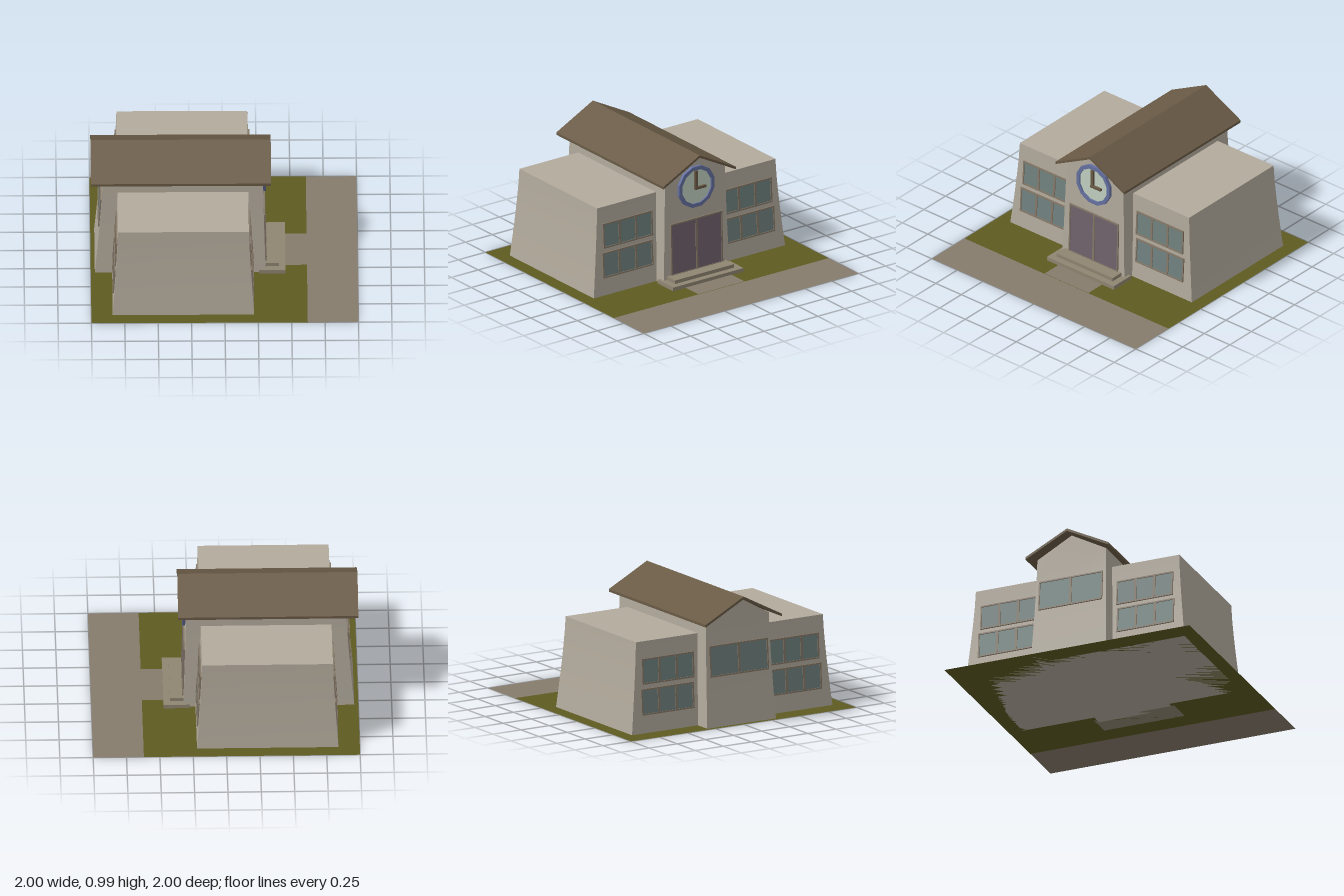
import * as THREE from 'three';

const mat = (name, color) => {
  const m = new THREE.MeshStandardMaterial({ color });
  m.name = name;
  return m;
};

export function createModel() {
  const model = new THREE.Group();
  const wall = mat('plaster', 0xb2aa9c);
  const grass = mat('grass', 0x5e5a20);
  const path = mat('path', 0x857b6c);
  const roofMat = mat('roof brown', 0x695a45);
  const trim = mat('trim', 0x857867);
  const glass = mat('glass', 0x70827f);
  const doorMat = mat('door purple', 0x70636d);
  const ringMat = mat('clock blue', 0x6570a0);
  const faceMat = mat('clock face', 0xc2d0c0);
  const stepMat = mat('step stone', 0x8f8572);
  grass.side = path.side = THREE.DoubleSide;

  const add = (parent, name, geometry, material, x = 0, y = 0, z = 0) => {
    const m = new THREE.Mesh(geometry, material);
    m.name = name;
    m.position.set(x, y, z);
    parent.add(m);
    return m;
  };
  const box = (parent, name, w, h, d, material, x, y, z) =>
    add(parent, name, new THREE.BoxGeometry(w, h, d), material, x, y, z);

  // Ground plates
  const plate = (name, x0, x1, halfZ, y, material) => add(model, name,
    new THREE.PlaneGeometry(x1 - x0, halfZ * 2).rotateX(-Math.PI / 2), material, (x0 + x1) / 2, y, 0);
  plate('lawn', -1, 0.62, 1, 0, grass);
  plate('pavement', 0.62, 1, 1, 0, path);
  plate('walkway', 0.3, 0.62, 0.215, 0.003, path);

  // Blocks whose walls flare out towards the ground
  const flare = (y, h) => Math.pow(Math.max(0, 1 - y / h), 1.3);
  const wings = { h: 0.7, back: -0.8, front: 0.18, side: 0.83, fBack: 0.04, fFront: 0.04, fSide: 0.06 };
  const hall = { h: 0.81, back: -0.91, front: 0.29, side: 0.28, fBack: 0.06, fFront: 0.02, fSide: 0.025, ridge: 0.965 };
  const wallX = (b, y, dir) => dir > 0
    ? b.front + b.fFront * flare(y, b.h)
    : b.back - b.fBack * flare(y, b.h);

  function flaredBlock(name, b) {
    const g = new THREE.BoxGeometry(2, b.h, 2, 1, 6, 2);
    const p = g.attributes.position;
    for (let i = 0; i < p.count; i++) {
      const y = p.getY(i) + b.h / 2;
      const z = p.getZ(i) * (b.side + b.fSide * flare(y, b.h));
      const gable = b.ridge && y > b.h - 0.001 && Math.abs(z) < 0.001;
      p.setXYZ(i, wallX(b, y, p.getX(i)), gable ? b.ridge : y, z);
    }
    g.computeVertexNormals();
    add(model, name, g, wall);
  }
  flaredBlock('wings', wings);
  flaredBlock('centralHall', hall);

  // Gabled roof
  const chevron = new THREE.Shape([
    [-0.338, 0.79], [0, 0.965], [0.338, 0.79], [0.338, 0.81], [0, 0.985], [-0.338, 0.81],
  ].map(([x, y]) => new THREE.Vector2(x, y)));
  const roof = new THREE.ExtrudeGeometry(chevron, { depth: 1.35, bevelEnabled: false });
  add(model, 'roof', roof.rotateY(Math.PI / 2), roofMat, -1, 0, 0);

  // Framed row of panes lying against a leaning wall; dir is +1 front, -1 back
  function paneRow(name, block, dir, z, y0, y1, width, columns, paneMat) {
    const g = new THREE.Group();
    g.name = name;
    const h = y1 - y0, y = (y0 + y1) / 2, cell = width / columns, bar = 0.011;
    const lean = Math.atan((wallX(block, y0, dir) - wallX(block, y1, dir)) * dir / h);
    g.rotation.order = 'YXZ';
    g.rotation.set(-lean, dir * Math.PI / 2, 0);
    g.position.set(wallX(block, y, dir), y, z);
    box(g, 'pane', width - bar, h - bar, 0.009, paneMat, 0, 0, 0);
    for (const s of [-1, 1]) box(g, 'rail', width, bar, 0.022, trim, 0, s * (h - bar) / 2, 0);
    for (let i = 0; i <= columns; i++) {
      const inner = i > 0 && i < columns;
      const x = i * cell - width / 2 + (i === 0 ? bar / 2 : i === columns ? -bar / 2 : 0);
      box(g, 'upright', inner ? bar * 1.6 : bar, h, 0.02, trim, x, 0, 0);
    }
    model.add(g);
  }
  for (const dir of [1, -1]) for (const side of [1, -1]) {
    paneRow('upperWindows', wings, dir, side * 0.555, 0.37, 0.567, 0.46, 3, glass);
    paneRow('lowerWindows', wings, dir, side * 0.566, 0.137, 0.337, 0.465, 3, glass);
  }
  paneRow('hallWindows', hall, -1, 0, 0.38, 0.62, 0.52, 2, glass);
  paneRow('frontDoors', hall, 1, -0.003, 0.05, 0.465, 0.48, 2, doorMat);

  // Entrance steps
  box(model, 'lowerStep', 0.2, 0.03, 0.656, stepMat, 0.36, 0.015, 0);
  box(model, 'upperStep', 0.15, 0.028, 0.55, stepMat, 0.335, 0.044, 0);

  // Clock: twelve-sided ring, face and two hands
  const clock = new THREE.Group();
  clock.name = 'clock';
  clock.position.set(0.285, 0.72, 0);
  const circle = (r) => Array.from({ length: 12 }, (_, i) => {
    const a = (i + 0.5) * Math.PI / 6;
    return new THREE.Vector2(Math.cos(a) * r, Math.sin(a) * r);
  });
  const ring = new THREE.Shape(circle(0.168));
  ring.holes.push(new THREE.Path(circle(0.138)));
  const ringGeo = new THREE.ExtrudeGeometry(ring, { depth: 0.03, bevelEnabled: false });
  add(clock, 'clockRing', ringGeo.rotateY(Math.PI / 2), ringMat);
  const dial = new THREE.ExtrudeGeometry(new THREE.Shape(circle(0.14)), { depth: 0.009, bevelEnabled: false });
  add(clock, 'clockFace', dial.rotateY(Math.PI / 2), faceMat, 0.009, 0, 0);
  box(clock, 'minuteHand', 0.016, 0.15, 0.025, roofMat, 0.028, 0.055, 0.007);
  box(clock, 'hourHand', 0.018, 0.02, 0.1, roofMat, 0.03, -0.01, -0.03);
  model.add(clock);

  return model;
}
